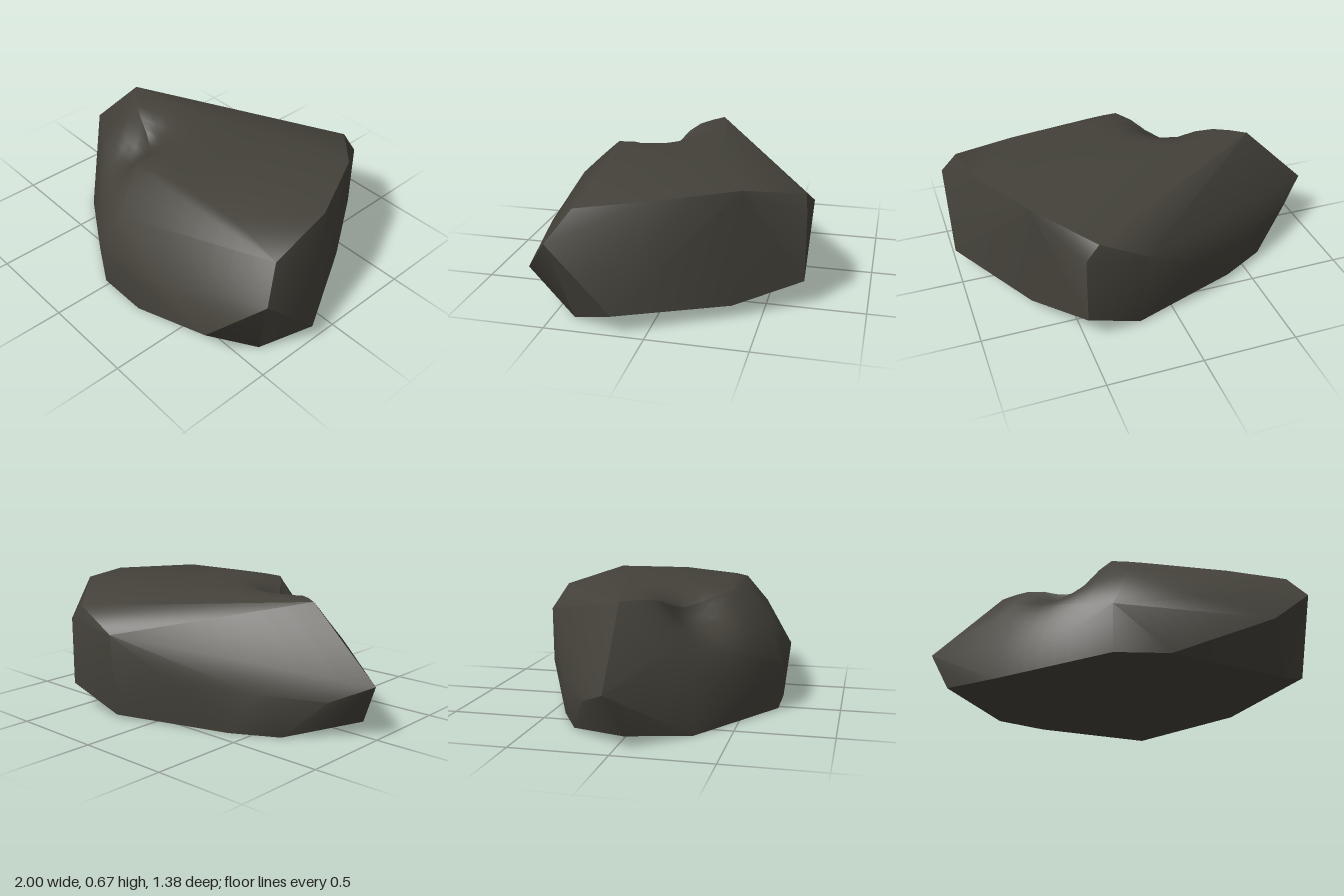
import * as THREE from 'three';
import { ConvexGeometry } from 'three/addons/geometries/ConvexGeometry.js';
import { toCreasedNormals } from 'three/addons/utils/BufferGeometryUtils.js';

const V = (x, y, z) => new THREE.Vector3(x, y, z);

// Corners of the boulder, grouped by region
const crown = [
  V(-0.63, 0.65, -0.05), V(0.2, 0.67, -0.23), V(0.68, 0.66, -0.4), V(0.86, 0.64, -0.02),
  V(0.91, 0.59, 0.36), V(0.6, 0.645, 0.34), V(0.22, 0.655, 0.35), V(-0.03, 0.645, 0.43),
];
const front = [
  V(-0.52, 0.45, 0.28), V(0.05, 0.47, 0.61), V(0.4, 0.31, 0.67), V(-0.03, 0.25, 0.69),
  V(0.76, 0.2, 0.66), V(0.985, 0.43, 0.48),
];
const back = [
  V(0.42, 0.575, -0.67), V(0.49, 0.5, -0.685), V(0.49, 0.14, -0.685), V(0.18, 0.46, -0.69),
  V(-0.16, 0.23, -0.56), V(-0.53, 0.22, -0.37), V(-0.83, 0.2, -0.18),
];
const tip = [V(-1, 0.28, -0.03), V(-0.89, 0.06, 0.04)];
const base = [
  V(0.86, 0, 0.39), V(1, 0.1, 0.16), V(0.7, 0.07, -0.36), V(0.2, 0.015, -0.64),
  V(-0.39, 0, -0.42), V(-0.63, 0, -0.29), V(-0.62, 0, 0.32), V(-0.34, 0, 0.47),
  V(-0.03, 0, 0.67), V(0.25, 0, 0.67),
];

// Hollow scooped out of the front shoulder
const hollow = { centre: V(-0.28, 0.6, 0.27), axis: V(-0.35, 0.75, 0.55).normalize(), depth: 0.12, radius: 0.18 };

function scoop(p, n) {
  const offset = p.clone().sub(hollow.centre);
  const f = hollow.depth * Math.exp(-offset.lengthSq() / hollow.radius ** 2);
  const normal = n.clone().addScaledVector(offset, (-2 * f) / hollow.radius ** 2).normalize();
  return { p: p.clone().addScaledVector(hollow.axis, -f), n: normal };
}

// Splits every facet into a triangular grid, keeping its shading, then scoops it
function subdivide(geometry, steps) {
  const pos = geometry.attributes.position;
  const nor = geometry.attributes.normal;
  const positions = [];
  const normals = [];
  for (let t = 0; t < pos.count; t += 3) {
    const mix = (attribute, i, j) => {
      const weights = [steps - i - j, i, j];
      const out = V(0, 0, 0);
      weights.forEach((w, k) => {
        out.addScaledVector(V(0, 0, 0).fromBufferAttribute(attribute, t + k), w / steps);
      });
      return out;
    };
    const emit = (i, j) => {
      const { p, n } = scoop(mix(pos, i, j), mix(nor, i, j).normalize());
      positions.push(p.x, p.y, p.z);
      normals.push(n.x, n.y, n.z);
    };
    for (let i = 0; i < steps; i++) {
      for (let j = 0; j < steps - i; j++) {
        emit(i, j); emit(i + 1, j); emit(i, j + 1);
        if (i + j < steps - 1) {
          emit(i + 1, j); emit(i + 1, j + 1); emit(i, j + 1);
        }
      }
    }
  }
  const result = new THREE.BufferGeometry();
  result.setAttribute('position', new THREE.Float32BufferAttribute(positions, 3));
  result.setAttribute('normal', new THREE.Float32BufferAttribute(normals, 3));
  return result;
}

export function createModel() {
  const group = new THREE.Group();
  group.name = 'rock';

  const stone = new THREE.MeshStandardMaterial({ color: 0x434139 });
  stone.name = 'darkStone';

  // Faceted stone with soft shading across shallow edges
  const hull = new ConvexGeometry([...crown, ...front, ...back, ...tip, ...base]);
  const boulder = new THREE.Mesh(subdivide(toCreasedNormals(hull, 0.7), 8), stone);
  boulder.name = 'boulder';
  group.add(boulder);
  return group;
}
